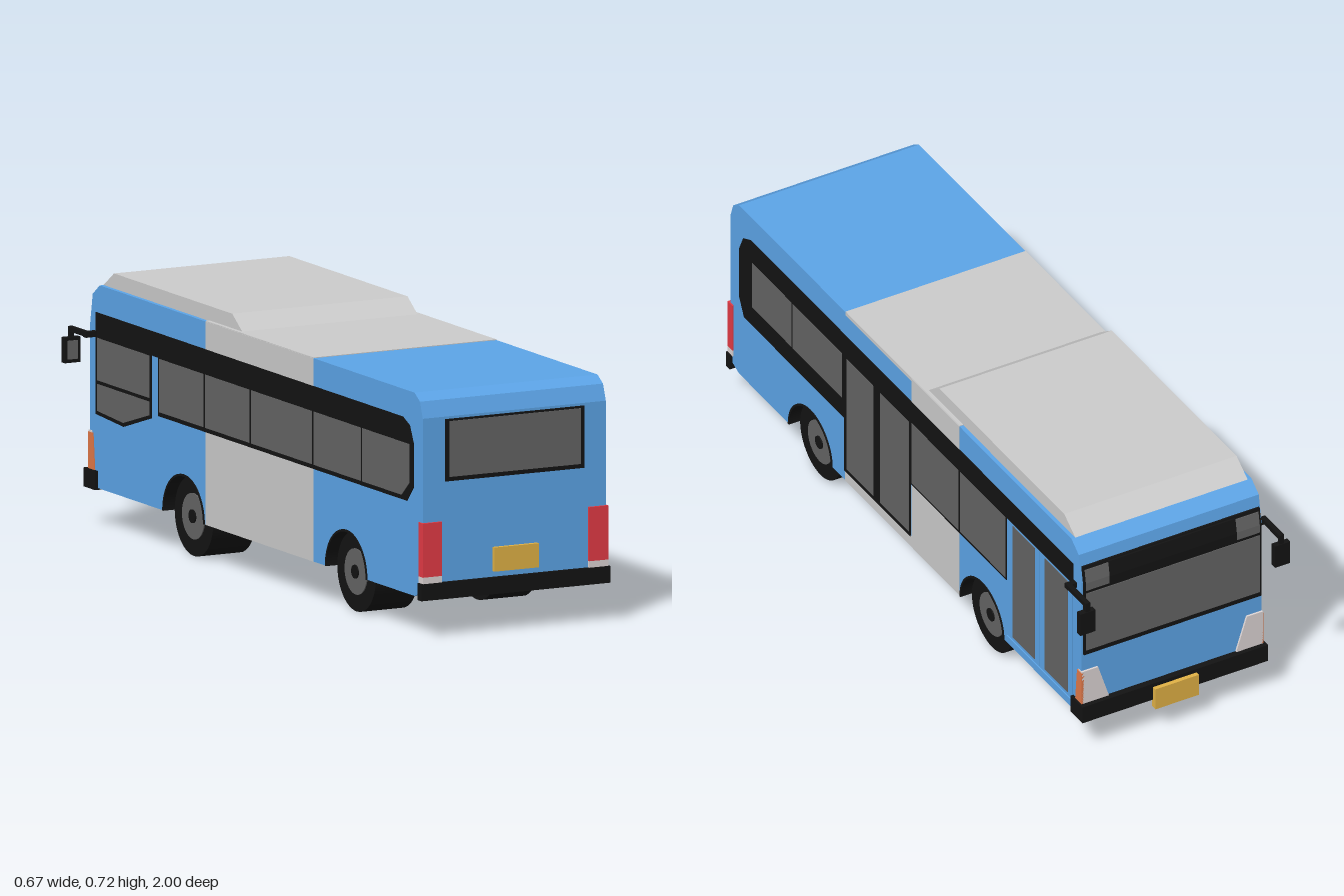
import * as THREE from 'three';

const paint = (color) => new THREE.MeshStandardMaterial({ color });
const BLUE = paint(0x5ca4e7), GREY = paint(0xcccccc), BLACK = paint(0x131313), GLASS = paint(0x646464);
const RED = paint(0xe33a45), GOLD = paint(0xe0b145), ORANGE = paint(0xe07848), LAMP = paint(0xdcd4d4);

const HALF = 0.284;                       // half width of the body
const FLOOR = 0.11, ROOF = 0.675;
const AXLES = [-0.385, 0.55], ARCH = 0.12;

export function createModel() {
  const bus = new THREE.Group();
  bus.name = 'bus';
  const body = new THREE.Group();
  body.name = 'bodywork';
  body.position.x = 0.003;
  bus.add(body);

  const add = (name, geometry, material, parent = body) => {
    const mesh = new THREE.Mesh(geometry, material);
    mesh.name = name;
    parent.add(mesh);
    return mesh;
  };
  const outline = (pts) => new THREE.Shape(pts.map(([a, b]) => new THREE.Vector2(a, b)));

  // Side outline in (z, y) pulled across from x0 to x1
  const slab = (name, shape, x0, x1, material) => {
    const s = Array.isArray(shape) ? outline(shape) : shape;
    const g = new THREE.ExtrudeGeometry(s, { depth: x1 - x0, bevelEnabled: false, curveSegments: 24 });
    g.rotateY(-Math.PI / 2).translate(x1, 0, 0);
    return add(name, g, material);
  };
  // Thin panel laid on a flank: side is +1 or -1, out is how far it stands proud
  const flank = (name, shape, side, out, material) =>
    side > 0 ? slab(name, shape, HALF - 0.005, HALF + out, material)
      : slab(name, shape, -HALF - out, -HALF + 0.005, material);
  const rect = (z0, z1, y0, y1) => [[z0, y0], [z1, y0], [z1, y1], [z0, y1]];
  // Box given by its limits
  const block = (name, x0, x1, y0, y1, z0, z1, material, parent) =>
    add(name, new THREE.BoxGeometry(x1 - x0, y1 - y0, z1 - z0)
      .translate((x0 + x1) / 2, (y0 + y1) / 2, (z0 + z1) / 2), material, parent);

  // Body: a plain core with outer thirds cut by wheel arches
  const profile = (arches) => {
    const s = new THREE.Shape();
    s.moveTo(-0.925, FLOOR);
    if (arches) AXLES.forEach((z) => {
      s.lineTo(z - ARCH, FLOOR);
      s.absarc(z, FLOOR, ARCH, Math.PI, 0, true);
    });
    [[0.94, FLOOR], [0.988, 0.13], [0.988, 0.61], [0.972, 0.655], [0.94, ROOF],
      [-0.87, ROOF], [-0.91, 0.645], [-0.925, 0.56]].forEach(([z, y]) => s.lineTo(z, y));
    s.closePath();
    return s;
  };
  slab('bodyCore', profile(false), -0.115, 0.115, BLUE);
  slab('bodyLeft', profile(true), 0.115, HALF, BLUE);
  slab('bodyRight', profile(true), -HALF, -0.115, BLUE);

  // Grey middle section
  block('roofPanel', -HALF, HALF, ROOF - 0.01, ROOF + 0.002, -0.26, 0.36, GREY);
  flank('greyPanel', rect(-0.26, 0, FLOOR, ROOF), 1, 0.001, GREY);
  flank('doorSill', rect(0, 0.362, FLOOR, 0.145), 1, 0.001, GREY);
  flank('greyPanel', rect(-0.26, 0.36, FLOOR, ROOF), -1, 0.001, GREY);

  // Roof unit with sloped ends
  slab('roofUnit', [[-0.07, ROOF], [-0.13, 0.717], [-0.81, 0.717], [-0.87, ROOF]], -0.272, 0.272, GREY);

  // Door-side window band with the middle door
  flank('windowBand', [[0.91, 0.318], [0.936, 0.37], [0.936, 0.535], [0.915, 0.58], [0.875, 0.598],
    [-0.88, 0.598], [-0.88, 0.53], [-0.52, 0.53], [-0.52, 0.32], [0.005, 0.32], [0.005, 0.142],
    [0.365, 0.142], [0.365, 0.318]], 1, 0.002, BLACK);
  [[0.65, 0.865, 0.38], [0.375, 0.644, 0.38], [-0.258, -0.003, 0.327], [-0.515, -0.268, 0.327]]
    .forEach(([a, b, y]) => flank('sideWindow', rect(a, b, y, 0.528), 1, 0.003, GLASS));
  [[0.205, 0.35], [0.012, 0.168]]
    .forEach(([a, b]) => flank('middleDoorGlass', rect(a, b, 0.155, 0.524), 1, 0.003, GLASS));

  // Front door: two leaves with tall panes
  [[-0.698, -0.525], [-0.877, -0.704]].forEach(([a, b]) =>
    flank('frontDoorLeaf', rect(a, b, 0.142, 0.53), 1, 0.002, BLUE));
  flank('frontDoorSill', rect(-0.88, -0.522, 0.13, 0.138), 1, 0.004, BLUE);
  [[-0.675, -0.555], [-0.855, -0.73]].forEach(([a, b]) =>
    flank('frontDoorGlass', rect(a, b, 0.152, 0.524), 1, 0.004, GLASS));

  // Other side: window band, dropped driver window
  flank('windowBand', [[0.9, 0.368], [0.936, 0.41], [0.936, 0.535], [0.915, 0.58], [0.875, 0.598],
    [-0.89, 0.598], [-0.89, 0.315], [-0.73, 0.305], [-0.57, 0.355], [-0.57, 0.53], [-0.53, 0.53],
    [-0.53, 0.368]], -1, 0.002, BLACK);
  [[-0.522, -0.268], [-0.258, -0.005], [0.005, 0.355], [0.365, 0.635]].forEach(([a, b]) =>
    flank('sideWindow', rect(a, b, 0.38, 0.528), -1, 0.003, GLASS));
  flank('sideWindow', [[0.645, 0.38], [0.87, 0.38], [0.915, 0.42], [0.915, 0.528], [0.645, 0.528]], -1, 0.003, GLASS);
  flank('driverWindow', rect(-0.88, -0.58, 0.41, 0.528), -1, 0.003, GLASS);
  flank('driverLowerWindow', [[-0.88, 0.325], [-0.73, 0.316], [-0.58, 0.362], [-0.58, 0.4], [-0.88, 0.4]], -1, 0.003, GLASS);

  // Windscreen follows the bend of the nose
  const nose = (name, y0, y1, out, half, material) => {
    const at = (y) => -0.925 + Math.max(0, y - 0.56) * 0.18 - out;
    const ys = y0 < 0.56 && y1 > 0.56 ? [y0, 0.56, y1] : [y0, y1];
    slab(name, [...ys.map((y) => [at(y), y]), [-0.895, y1], [-0.895, y0]], -half, half, material);
  };
  nose('windscreenFrame', 0.32, 0.61, 0.006, 0.28, BLACK);
  nose('windscreen', 0.335, 0.525, 0.008, 0.274, GLASS);
  nose('upperScreen', 0.535, 0.6, 0.008, 0.274, GLASS);
  nose('signBox', 0.53, 0.605, 0.011, 0.2, BLACK);

  // Rear window
  block('rearWindowFrame', -0.215, 0.217, 0.43, 0.603, 0.97, 0.991, BLACK);
  block('rearWindow', -0.203, 0.205, 0.442, 0.597, 0.97, 0.993, GLASS);

  // Bumpers and plates
  block('rearBumper', -0.293, 0.293, 0.105, 0.152, 0.975, 0.997, BLACK);
  block('frontBumper', -0.293, 0.293, 0.105, 0.158, -0.945, -0.88, BLACK);
  block('rearPlate', -0.068, 0.07, 0.168, 0.235, 0.98, 1, GOLD);
  block('frontPlate', -0.068, 0.07, 0.08, 0.147, -0.958, -0.94, GOLD);

  for (const side of [1, -1]) {
    const span = (a, b) => (side > 0 ? [a, b] : [-b, -a]);

    // Lamps
    block('tailLamp', ...span(0.228, 0.288), 0.17, 0.32, 0.97, 0.996, RED);
    block('reverseLamp', ...span(0.228, 0.288), 0.15, 0.17, 0.97, 0.996, LAMP);
    const lamp = outline([[0.2, 0.155], [0.286, 0.155], [0.286, 0.265], [0.235, 0.265]].map(([x, y]) => [x * side, y]));
    add('headlamp', new THREE.ExtrudeGeometry(lamp, { depth: 0.02, bevelEnabled: false }).translate(0, 0, -0.931), LAMP);
    flank('sideMarker', [[-0.931, 0.155], [-0.895, 0.155], [-0.905, 0.26], [-0.931, 0.26]], side, 0.003, ORANGE);

    // Wheels inside black arch rims
    for (const z of AXLES) {
      const rim = new THREE.Shape();
      rim.absarc(z, FLOOR, ARCH, 0, Math.PI, false);
      rim.absarc(z, FLOOR, ARCH - 0.006, Math.PI, 0, true);
      slab('archLiner', rim, ...span(0.116, HALF + 0.003), BLACK);
      block('archBack', ...span(0.116, 0.12), FLOOR, 0.215, z - 0.06, z + 0.06, BLACK);
      const disc = (name, r, x0, x1, material) => add(name,
        new THREE.CylinderGeometry(r, r, x1 - x0, 40).rotateZ(Math.PI / 2)
          .translate(side * (x0 + x1) / 2, 0.111, z), material);
      disc('tyre', 0.111, 0.121, 0.253, BLACK);
      disc('hub', 0.064, 0.2, 0.256, GLASS);
      disc('hubCap', 0.019, 0.2, 0.26, BLACK);
    }

    // Door mirrors on forward-reaching arms
    const mirror = new THREE.Group();
    mirror.name = 'doorMirror';
    bus.add(mirror);
    const back = side > 0 ? -0.988 : -0.978;
    block('mirrorBracket', ...span(0.275, 0.316), 0.53, 0.546, -0.9, -0.883, BLACK, mirror);
    block('mirrorArm', ...span(0.302, 0.316), 0.532, 0.546, back - 0.01, -0.885, BLACK, mirror);
    block('mirrorDrop', ...span(0.302, 0.316), 0.5, 0.546, back - 0.01, back, BLACK, mirror);
    block('mirrorShell', ...span(0.286, 0.334), 0.446, 0.517, back - 0.012, back + 0.006, BLACK, mirror);
    block('mirrorGlass', ...span(0.294, 0.326), 0.456, 0.508, back, back + 0.008, GLASS, mirror);
  }
  return bus;
}
